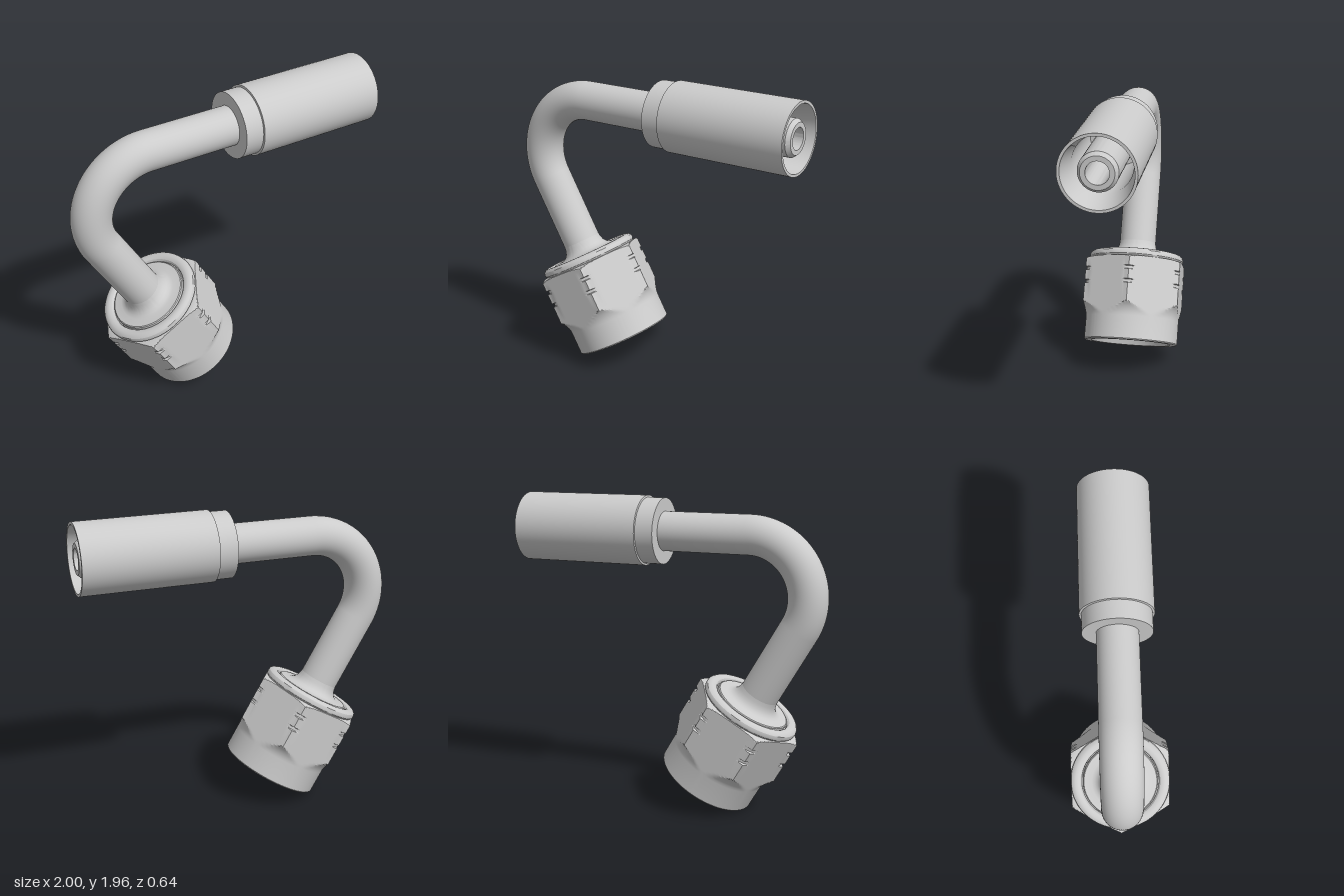
import * as THREE from 'three';
import { toCreasedNormals } from 'three/addons/utils/BufferGeometryUtils.js';

const material = new THREE.MeshStandardMaterial({ color: 0xcccccc });
const TUBE_R = 0.124, BEND_R = 0.376, AXIS_Y = 1.742;
const BEND_X = -0.5, BEND_Y = AXIS_Y - BEND_R;
const LEG = 1.177; // from the end of the bend to the open end of the nut

function part(name, geometry) {
  const mesh = new THREE.Mesh(geometry, material);
  mesh.name = name;
  return mesh;
}

// Turned profile of [radius, height] pairs; an optional hexagon trims the radius
function turned(profile, segments, hexApothem = 0) {
  const points = profile.map(([r, h]) => new THREE.Vector2(r, h));
  const geo = new THREE.LatheGeometry(points, segments);
  if (hexApothem) {
    const pos = geo.attributes.position, sixth = Math.PI / 3;
    for (let i = 0; i < pos.count; i++) {
      const x = pos.getX(i), z = pos.getZ(i), r = Math.hypot(x, z);
      const angle = Math.atan2(x, z) + 2 * Math.PI + sixth / 2;
      const limit = hexApothem / Math.cos((angle % sixth) - sixth / 2);
      if (r > limit) {
        pos.setX(i, x * limit / r);
        pos.setZ(i, z * limit / r);
      }
    }
  }
  return toCreasedNormals(geo, 0.45);
}

// Shallow groove that only bites into the hexagon's corners
const notch = (h) => [[0.4, h - 0.013], [0.349, h - 0.009], [0.349, h + 0.009], [0.4, h + 0.013]];

export function createModel() {
  const group = new THREE.Group();

  // Bent tube: straight run, 120 degree elbow, slanted leg
  const run = part('straightTube', new THREE.CylinderGeometry(TUBE_R, TUBE_R, 0.8, 64, 1, true));
  run.rotation.z = -Math.PI / 2;
  run.position.set(BEND_X + 0.4, AXIS_Y, 0);

  const elbow = part('elbow', new THREE.TorusGeometry(BEND_R, TUBE_R, 64, 72, Math.PI * 2 / 3));
  elbow.rotation.z = Math.PI / 2;
  elbow.position.set(BEND_X, BEND_Y, 0);

  // Hose sleeve with collar, open end and inner nipple
  const sleeve = part('hoseSleeve', turned([
    [0.12, 0.055], [0.207, 0.055], [0.207, 0.17], [0.22, 0.172], [0.22, 1],
    [0.203, 1], [0.198, 0.96], [0.172, 0.82], [0.172, 0.25], [0.114, 0.25],
    [0.114, 0.965], [0.095, 0.99], [0.066, 0.99], [0.066, 0.3], [0, 0.3],
  ], 96));
  sleeve.rotation.z = -Math.PI / 2;
  sleeve.position.y = AXIS_Y;

  // Slanted end, built upright from the nut's open end and then tilted
  const end = new THREE.Group();
  end.name = 'swivelEnd';
  const tilt = Math.PI / 6;
  end.rotation.z = tilt;
  end.position.set(
    BEND_X - BEND_R * Math.cos(tilt) + LEG * Math.sin(tilt),
    BEND_Y - BEND_R * Math.sin(tilt) - LEG * Math.cos(tilt), 0);

  const leg = part('slantedTube', new THREE.CylinderGeometry(TUBE_R, TUBE_R, LEG - 0.6, 64, 1, true));
  leg.position.y = (LEG + 0.6) / 2;

  // Hexagonal nut: bore, rim, round skirt, fillet, notched hexagon, rolled lip
  const nut = part('hexNut', turned([
    [0.245, 0.44], [0.245, 0.04], [0.27, 0], [0.312, 0], [0.319, 0.008],
    [0.319, 0.16], [0.3205, 0.175], [0.324, 0.19], [0.33, 0.205], [0.338, 0.22],
    [0.347, 0.232], [0.357, 0.242], [0.37, 0.252], [0.4, 0.262],
    ...notch(0.385), ...notch(0.475),
    [0.4, 0.537], [0.372, 0.545], [0.36, 0.551], [0.35, 0.555], [0.34, 0.558], [0.33, 0.56],
    [0.313, 0.562], [0.322, 0.573], [0.323, 0.585], [0.318, 0.6], [0.306, 0.611],
    [0.29, 0.616], [0.272, 0.616], [0.259, 0.61], [0.252, 0.6], [0.25, 0.585],
  ], 192, 0.32));

  // Flange where the tube flares out inside the lip
  const flange = part('tubeFlange', turned([
    [0.25, 0.588], [0.244, 0.59], [0.242, 0.606], [0.236, 0.611], [0.185, 0.613],
    [0.165, 0.619], [0.148, 0.632], [0.135, 0.65], [0.127, 0.675], [0.1235, 0.7],
  ], 96));

  // Sealing nipple inside the nut
  const nipple = part('sealNipple', turned([
    [0, 0.55], [0.118, 0.55], [0.118, 0.165], [0.124, 0.15], [0.145, 0.15],
    [0.152, 0.158], [0.152, 0.3], [0.246, 0.42],
  ], 96));

  end.add(leg, nut, flange, nipple);
  group.add(run, elbow, sleeve, end);
  return group;
}
